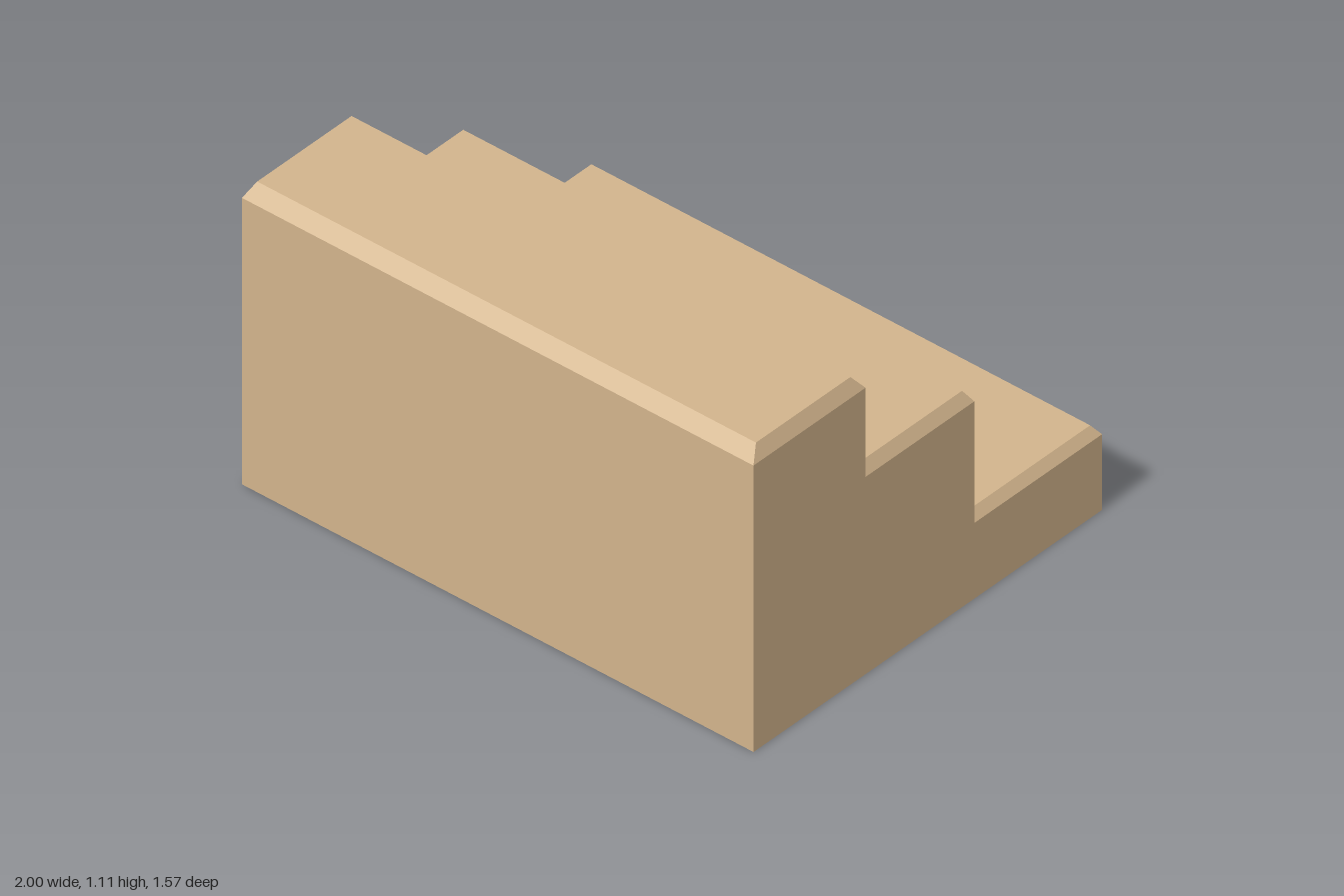
import * as THREE from 'three';

const tan = new THREE.MeshStandardMaterial({ color: 0xd2b48c, side: THREE.DoubleSide });
tan.name = 'tan';

// Flat-shaded mesh from quads, corners counter-clockwise seen from outside
function quadMesh(name, quads) {
  const pos = [];
  for (const [a, b, c, d] of quads) pos.push(...a, ...b, ...c, ...a, ...c, ...d);
  const geo = new THREE.BufferGeometry();
  geo.setAttribute('position', new THREE.Float32BufferAttribute(pos, 3));
  geo.computeVertexNormals();
  const mesh = new THREE.Mesh(geo, tan);
  mesh.name = name;
  return mesh;
}

// Rectangle in a plane of constant z, facing back (-z) or front (+z)
const backWall = (z, y0, y1) => [[1, y0, z], [-1, y0, z], [-1, y1, z], [1, y1, z]];
const frontWall = (z, y0, y1) => [[-1, y0, z], [1, y0, z], [1, y1, z], [-1, y1, z]];

// One step: riser, side walls and a tread with chamfered edges
function step({ name, z0, z1, foot, rim, top, back, front }) {
  const group = new THREE.Group();
  group.name = name;
  const X = 0.975; // half width of the flat tread
  const a = z0 + back, b = z1 - front;

  group.add(quadMesh('riser', [backWall(z0, foot, rim)]));
  group.add(quadMesh('sideWalls', [
    [[1, 0, z1], [1, 0, z0], [1, rim, z0], [1, rim, z1]],
    [[-1, 0, z0], [-1, 0, z1], [-1, rim, z1], [-1, rim, z0]],
  ]));
  group.add(quadMesh('tread', [[[-X, top, b], [X, top, b], [X, top, a], [-X, top, a]]]));

  const chamfers = [
    [[1, rim, z0], [-1, rim, z0], [-X, top, a], [X, top, a]],
    [[1, rim, z1], [1, rim, z0], [X, top, a], [X, top, b]],
    [[-1, rim, z0], [-1, rim, z1], [-X, top, b], [-X, top, a]],
  ];
  if (front) chamfers.push([[-1, rim, z1], [1, rim, z1], [X, top, b], [-X, top, b]]);
  group.add(quadMesh('chamfers', chamfers));
  return group;
}

export function createModel() {
  const model = new THREE.Group();
  model.name = 'steps';
  const zs = [-0.785, -0.21, 0.28, 0.785];

  model.add(step({ name: 'lowStep', z0: zs[0], z1: zs[1], foot: 0, rim: 0.28, top: 0.315, back: 0.025, front: 0 }));
  model.add(step({ name: 'middleStep', z0: zs[1], z1: zs[2], foot: 0.28, rim: 0.73, top: 0.772, back: 0.027, front: 0 }));
  model.add(step({ name: 'topStep', z0: zs[2], z1: zs[3], foot: 0.73, rim: 1.06, top: 1.11, back: 0.04, front: 0.04 }));

  // Tall wall closing the front
  model.add(quadMesh('frontWall', [frontWall(zs[3], 0, 1.06)]));

  // Underside; the space below the top step stays open
  model.add(quadMesh('underside', [
    [[-1, 0, zs[0]], [1, 0, zs[0]], [1, 0, zs[2]], [-1, 0, zs[2]]],
  ]));
  return model;
}
